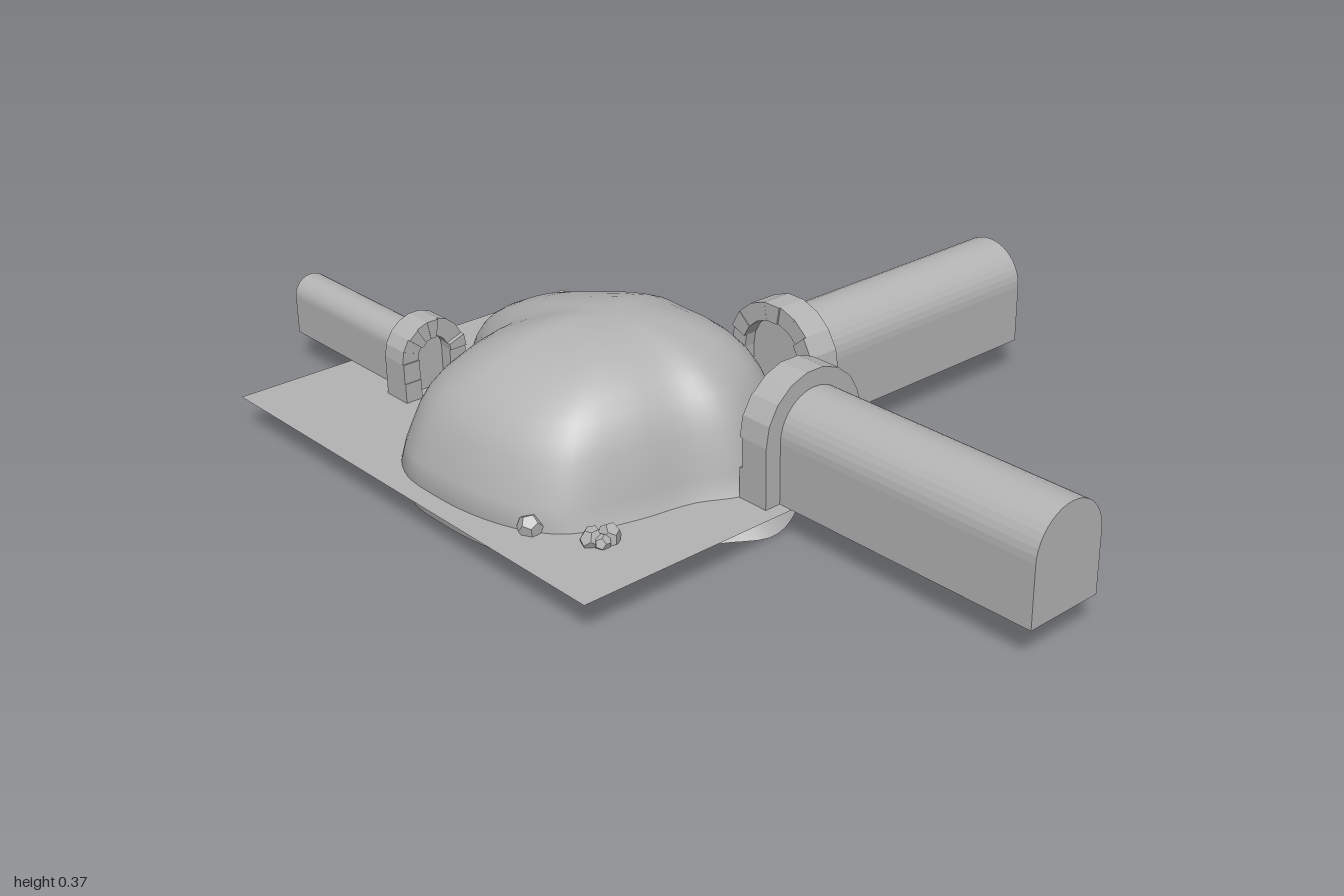
import * as THREE from 'three';

const FLOOR = 0.076;

// Dome footprint at floor level, as [x, z]
const OUTLINE = [
  [-0.695, -0.13], [-0.685, -0.235], [-0.63, -0.325], [-0.525, -0.38], [-0.43, -0.41],
  [-0.36, -0.485], [-0.29, -0.565], [-0.225, -0.58], [-0.14, -0.55], [-0.077, -0.45],
  [-0.013, -0.34], [0.022, -0.21], [0.018, -0.05], [0.012, 0.08], [-0.035, 0.19],
  [-0.13, 0.26], [-0.24, 0.295], [-0.34, 0.25], [-0.47, 0.225], [-0.595, 0.18],
  [-0.65, 0.11], [-0.685, 0],
];

// Dome section from the crown outwards, as [reach, height]
const SECTION = [
  [0, 0.37], [0.12, 0.369], [0.25, 0.366], [0.38, 0.357], [0.5, 0.346], [0.62, 0.329],
  [0.72, 0.305], [0.8, 0.278], [0.86, 0.247], [0.905, 0.212], [0.94, 0.17], [0.975, 0.125], [1, FLOOR],
];

function random(seed) {
  let s = seed;
  return () => (s = (s * 16807) % 2147483647) / 2147483647;
}

// Lofted rocky shell, open underneath, with a flared skirt below the floor
function domeGeometry() {
  const around = 96;
  const curve = new THREE.CatmullRomCurve3(OUTLINE.map(([x, z]) => new THREE.Vector3(x, 0, z)), true);
  const edge = curve.getPoints(around).slice(0, around);
  const cx = -0.28, cz = -0.05;
  const pos = [], index = [];
  for (const [s, h] of SECTION) {
    for (const p of edge) {
      const x = cx + (p.x - cx) * s, z = cz + (p.z - cz) * s;
      const slope = 0.2 * Math.max(0, -z - 0.12) + 0.1 * Math.max(0, -x - 0.42);
      pos.push(x, FLOOR + (h - FLOOR) * (1 - slope / 0.37), z);
    }
  }
  for (const p of edge) {
    const flare = p.z > 0 ? 0.2 * p.z : 0.05 * p.z;
    pos.push(p.x + (p.x > -0.4 ? 0.01 : 0.02), 0, p.z + flare);
  }
  for (let i = 0; i < SECTION.length; i++) {
    for (let j = 0; j < around; j++) {
      const k = (j + 1) % around;
      const a = i * around + j, d = i * around + k;
      const b = a + around, c = d + around;
      index.push(a, c, b, a, d, c);
    }
  }
  const g = new THREE.BufferGeometry();
  g.setAttribute('position', new THREE.Float32BufferAttribute(pos, 3));
  g.setIndex(index);
  g.computeVertexNormals();
  return g;
}

// Round-topped tunnel cross-section standing on the floor
function archShape(halfWidth, top) {
  const spring = top - halfWidth;
  const s = new THREE.Shape();
  s.moveTo(-halfWidth, FLOOR);
  s.lineTo(halfWidth, FLOOR);
  s.lineTo(halfWidth, spring);
  s.absarc(0, spring, halfWidth, 0, Math.PI, false);
  s.closePath();
  return s;
}

// Points along an arch: right leg, curve, left leg
function archPath(halfWidth, spring, steps) {
  const pts = [[halfWidth, FLOOR - 0.004], [halfWidth, (FLOOR + spring) / 2]];
  for (let i = 0; i <= steps; i++) {
    const a = (Math.PI * i) / steps;
    pts.push([halfWidth * Math.cos(a), spring + halfWidth * Math.sin(a)]);
  }
  pts.push([-halfWidth, (FLOOR + spring) / 2], [-halfWidth, FLOOR - 0.004]);
  return pts;
}

export function createModel() {
  const model = new THREE.Group();
  const stone = new THREE.MeshStandardMaterial({ color: 0xb4b4b4, side: THREE.DoubleSide });
  stone.name = 'grey stone';

  function add(parent, name, geometry) {
    const mesh = new THREE.Mesh(geometry, stone);
    mesh.name = name;
    parent.add(mesh);
    return mesh;
  }

  // Cave shell and ground sheet
  add(model, 'caveDome', domeGeometry());
  const sheet = add(model, 'groundSheet', new THREE.PlaneGeometry(0.89, 1.18).rotateX(-Math.PI / 2));
  sheet.position.set(-0.295, FLOOR, -0.19);

  // Tunnel running along local +z, with a ring of wedge stones at its mouth
  function tunnel(name, { x, z, turn, half, top, rim, length, depth, seed }) {
    const group = new THREE.Group();
    group.name = name;
    group.position.set(x, 0, z);
    group.rotation.y = turn;
    const rand = random(seed);

    const body = add(group, 'tunnelBody', new THREE.ExtrudeGeometry(archShape(half, top), {
      depth: length - depth * 0.5, bevelEnabled: false, curveSegments: 10,
    }));
    body.position.z = depth * 0.5;

    const spring = top - half;
    const inner = archPath(half - 0.004, spring, 9);
    const outer = archPath(half + rim, spring, 9);
    for (let i = 0; i < inner.length - 1; i++) {
      const quad = [inner[i], outer[i], outer[i + 1], inner[i + 1]];
      const wedge = new THREE.Shape(quad.map(([u, v]) => new THREE.Vector2(u, v)));
      const cut = rand() * 0.012;
      const block = add(group, 'archStone', new THREE.ExtrudeGeometry(wedge, {
        depth: depth - cut, bevelEnabled: false,
      }));
      block.position.z = cut;
    }
    model.add(group);
  }

  tunnel('frontTunnel', { x: -0.128, z: 0.29, turn: 0, half: 0.092, top: 0.302, rim: 0.038, length: 0.71, depth: 0.077, seed: 11 });
  tunnel('leftTunnel', { x: 0.03, z: 0.077, turn: Math.PI / 2, half: 0.092, top: 0.302, rim: 0.036, length: 0.7, depth: 0.075, seed: 29 });
  tunnel('backTunnel', { x: -0.413, z: -0.508, turn: Math.PI, half: 0.045, top: 0.21, rim: 0.037, length: 0.492, depth: 0.072, seed: 47 });

  // Loose rocks lying around the dome, as [x, z, size]
  const rocks = [
    [-0.59, 0.235, 0.026], [-0.555, 0.25, 0.026], [-0.58, 0.258, 0.018], [-0.645, 0.12, 0.026],
    [0.025, -0.215, 0.028], [0.022, -0.07, 0.02], [0.0, 0.06, 0.02], [0.02, 0.1, 0.022],
    [0.005, 0.14, 0.022], [0.02, 0.18, 0.022], [-0.02, 0.19, 0.018],
  ];
  const rand = random(83);
  for (const [x, z, size] of rocks) {
    const g = new THREE.DodecahedronGeometry(size).toNonIndexed();
    g.computeVertexNormals();
    const rock = add(model, 'rock', g);
    rock.position.set(x, FLOOR + size * 0.45, z);
    rock.rotation.set(rand() * 3, rand() * 3, rand() * 3);
    rock.scale.set(1, 0.75 + rand() * 0.3, 0.85 + rand() * 0.3);
  }

  return model;
}
